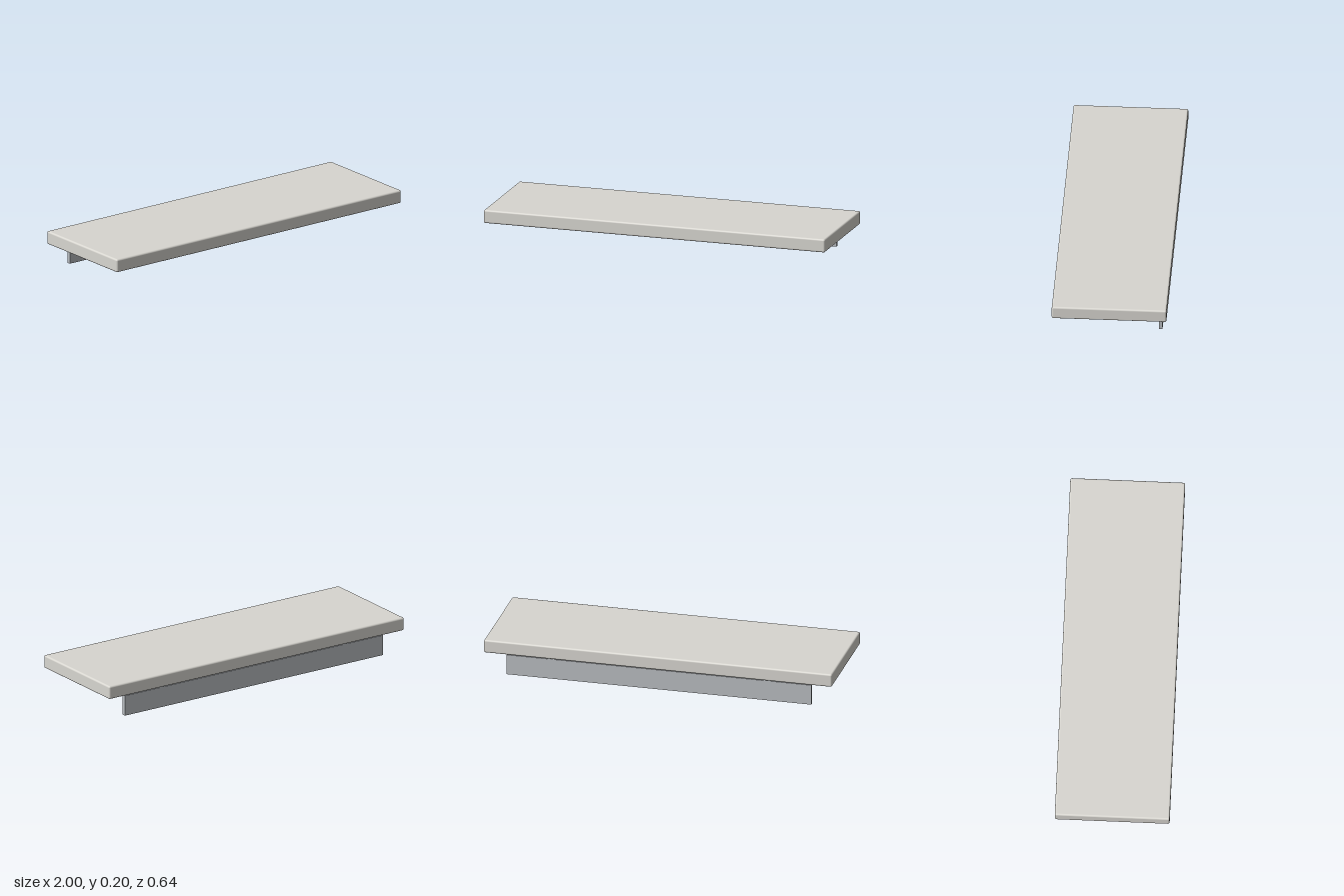
import * as THREE from 'three';
import { RoundedBoxGeometry } from 'three/addons/geometries/RoundedBoxGeometry.js';

export function createModel() {
  const group = new THREE.Group();
  const slabMaterial = new THREE.MeshStandardMaterial({ color: 0xd8d6d0 });
  const metalMaterial = new THREE.MeshStandardMaterial({ color: 0xb8bcc0 });

  const add = (name, geometry, material, x, y, z) => {
    const mesh = new THREE.Mesh(geometry, material);
    mesh.name = name;
    mesh.position.set(x, y, z);
    group.add(mesh);
  };

  // Thick shelf board with softly rounded edges
  add('shelfBoard', new RoundedBoxGeometry(2, 0.076, 0.64, 4, 0.01), slabMaterial, 0, 0.167, 0);

  // Wall rail hanging below the back edge
  add('wallRail', new THREE.BoxGeometry(1.75, 0.117, 0.02), metalMaterial, 0, 0.0585, -0.281);

  // Support arms running forward from the rail under the board
  for (const side of [-1, 1]) {
    const name = side > 0 ? 'leftSupportArm' : 'rightSupportArm';
    add(name, new THREE.BoxGeometry(0.04, 0.031, 0.409), metalMaterial, side * 0.62, 0.1145, -0.0865);
  }

  return group;
}
